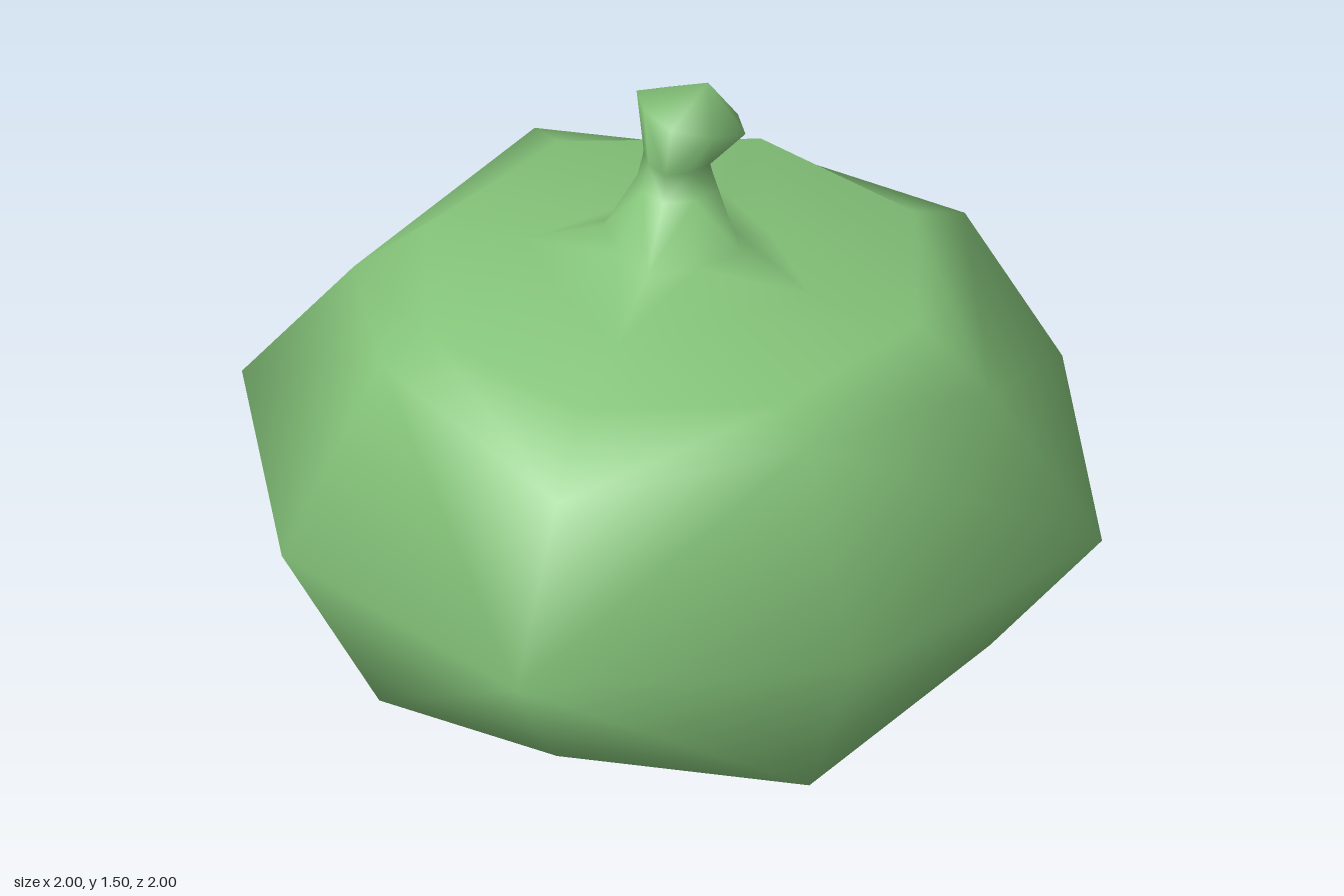
import * as THREE from 'three';

const SIDES = 8;

// Cross-sections from bottom to top. axis / diag are the radii along the axes
// and the x and z distance of the diagonal corners.
const RINGS = [
  // body
  { y: 0, axis: 0.375, diag: 0.29 },
  { y: 0.08, yDiag: 0.2, axis: 0.75, diag: 0.555 },
  { y: 0.55, axis: 1, diag: 0.75 },
  { y: 1.015, yDiag: 0.9, axis: 0.75, diag: 0.555 },
  { y: 1.055, axis: 0.62, diag: 0.43 },
  // flare into the stem
  { y: 1.09, axis: 0.275, diag: 0.25, x: -0.02, z: 0.02 },
  { y: 1.15, axis: 0.14, diag: 0.12 },
  // stem and its knob
  { y: 1.25, axis: 0.09, diag: 0.07, x: 0.05, z: -0.075 },
  { y: 1.32, axis: 0.073, diag: 0.058, x: 0.047, z: -0.073 },
  { y: 1.435, axis: 0.12, diag: 0.095, x: 0.083, z: -0.073, tilt: -0.32 },
];
const EQUATOR = 2;

function buildSurface() {
  const pos = [];
  const index = [];
  for (const { y, yDiag = y, axis, diag, x = 0, z = 0, tilt = 0 } of RINGS) {
    for (let k = 0; k < SIDES; k++) {
      const t = (k / SIDES) * Math.PI * 2;
      const onAxis = k % 2 === 0;
      const r = onAxis ? axis : diag * Math.SQRT2;
      const dx = r * Math.cos(t);
      pos.push(x + dx, (onAxis ? y : yDiag) + tilt * dx, z + r * Math.sin(t));
    }
  }

  // Quads between rings; the split direction follows the bulge of the body
  for (let r = 0; r < RINGS.length - 1; r++) {
    for (let k = 0; k < SIDES; k++) {
      const n = (k + 1) % SIDES;
      const a = r * SIDES + k, b = r * SIDES + n;
      const c = b + SIDES, d = a + SIDES;
      let splitBD = (k % 2 === 0) === (r >= EQUATOR);
      const besideRight = k === 0 || k === SIDES - 1;
      if (besideRight && (r === EQUATOR || r === EQUATOR - 1)) splitBD = !splitBD;
      if (splitBD) index.push(a, d, b, b, d, c);
      else index.push(a, d, c, a, c, b);
    }
  }

  // Flat base and slanted knob tip
  const base = pos.length / 3;
  pos.push(0, 0, 0, 0.13, 1.5, -0.08);
  const last = (RINGS.length - 1) * SIDES;
  for (let k = 0; k < SIDES; k++) {
    const n = (k + 1) % SIDES;
    index.push(base, k, n, base + 1, last + n, last + k);
  }

  const geo = new THREE.BufferGeometry();
  geo.setAttribute('position', new THREE.Float32BufferAttribute(pos, 3));
  geo.setIndex(index);
  geo.computeVertexNormals();
  return geo;
}

export function createModel() {
  const group = new THREE.Group();
  group.name = 'gourd';
  const mesh = new THREE.Mesh(
    buildSurface(),
    new THREE.MeshStandardMaterial({ color: 0x85c47a })
  );
  mesh.name = 'bodyWithStem';
  group.add(mesh);
  return group;
}
